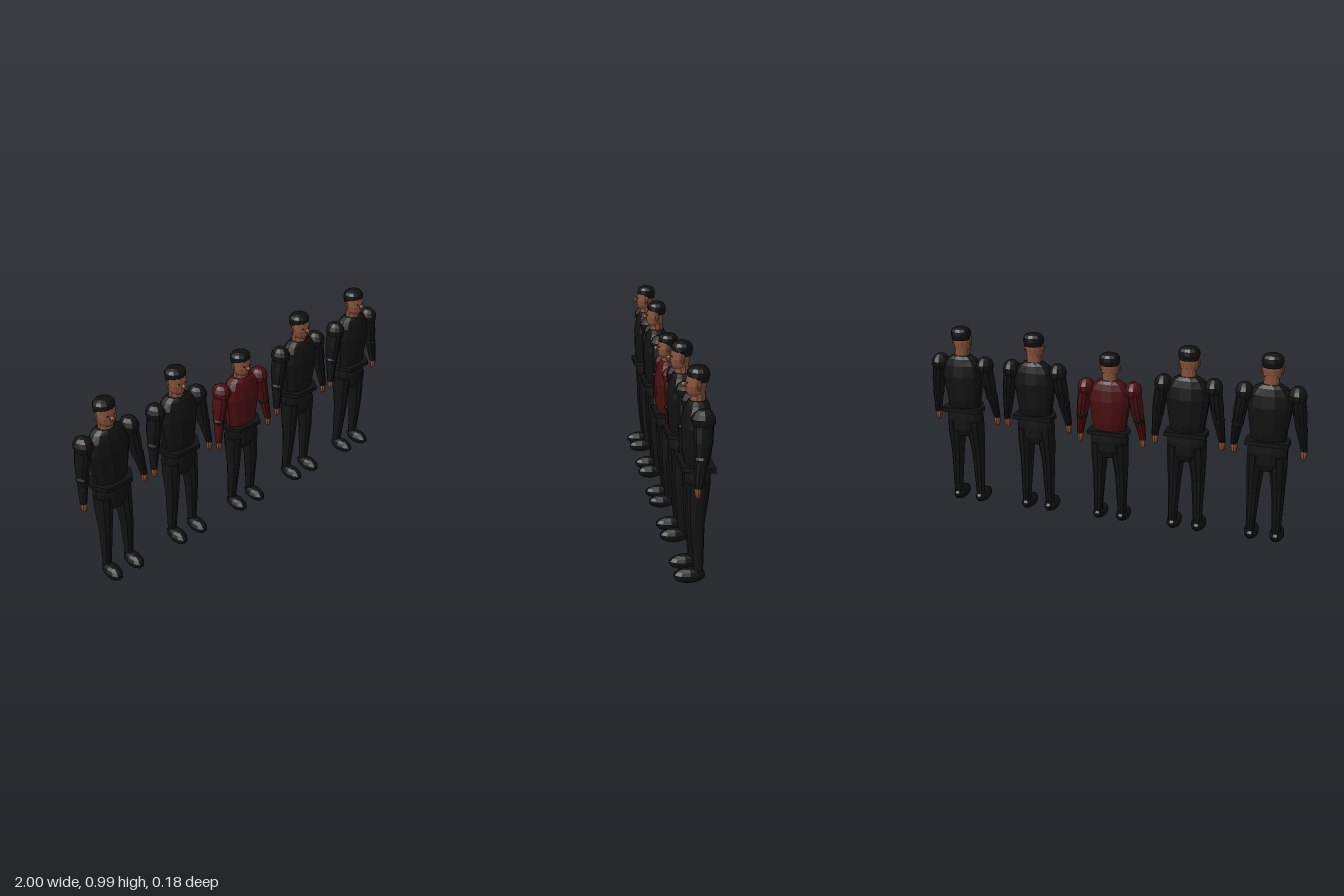
import * as THREE from 'three';

const mat = (name, color) => {
  const m = new THREE.MeshStandardMaterial({ color });
  m.name = name;
  return m;
};

// separate the faces so every facet is shaded flat
function facet(geo) {
  const g = geo.index ? geo.toNonIndexed() : geo;
  g.computeVertexNormals();
  return g;
}

// closed solid through elliptical rings [y, centreX, centreZ, radiusX, radiusZ], listed upward
function loft(rings, sides) {
  const pos = [], idx = [];
  for (const [y, cx, cz, rx, rz] of rings)
    for (let j = 0; j < sides; j++) {
      const a = ((j + 0.5) / sides) * Math.PI * 2;
      pos.push(cx + rx * Math.cos(a), y, cz + rz * Math.sin(a));
    }
  const last = rings.length - 1, base = rings.length * sides;
  for (const r of [rings[0], rings[last]]) pos.push(r[1], r[0], r[2]);
  for (let j = 0; j < sides; j++) {
    const k = (j + 1) % sides;
    for (let i = 0; i < last; i++) {
      const a = i * sides + j, b = i * sides + k;
      idx.push(a, a + sides, b, b, a + sides, b + sides);
    }
    idx.push(base, j, k, base + 1, last * sides + k, last * sides + j);
  }
  const g = new THREE.BufferGeometry();
  g.setAttribute('position', new THREE.Float32BufferAttribute(pos, 3));
  g.setIndex(idx);
  return facet(g);
}

function ellipsoid(x, y, z, rx, ry, rz, w = 10, h = 7) {
  return facet(new THREE.SphereGeometry(1, w, h).scale(rx, ry, rz).translate(x, y, z));
}

// flat-backed band, tapered toward the front
function beltGeometry() {
  const s = new THREE.Shape();
  [[-0.105, 0.09], [0.105, 0.09], [0.108, 0.01], [0.07, -0.055], [-0.07, -0.055], [-0.108, 0.01]]
    .reverse()
    .forEach(([x, y], i) => (i ? s.lineTo(x, y) : s.moveTo(x, y)));
  return new THREE.ExtrudeGeometry(s, { depth: 0.022, bevelEnabled: false })
    .rotateX(-Math.PI / 2).translate(0, 0.538, 0);
}

export function createModel() {
  const skin = mat('skin', 0x84503a);
  const black = mat('black cloth', 0x111111);
  const trousers = mat('dark trousers', 0x131314);
  const hair = mat('hair and shoes', 0x0e0f0f);
  const red = mat('dark red cloth', 0x480e0f);

  function person(top) {
    const g = new THREE.Group();
    const add = (name, geo, material) => {
      const m = new THREE.Mesh(geo, material);
      m.name = name;
      g.add(m);
    };

    // head and neck
    add('neck', loft([[0.8, 0, -0.025, 0.04, 0.036], [0.885, 0, -0.025, 0.038, 0.034]], 10), skin);
    add('head', loft([
      [0.862, 0, -0.015, 0.032, 0.034], [0.88, 0, -0.015, 0.044, 0.043],
      [0.91, 0, -0.015, 0.05, 0.046], [0.945, 0, -0.018, 0.049, 0.042],
      [0.965, 0, -0.02, 0.04, 0.034]], 12), skin);
    add('nose', ellipsoid(0, 0.91, 0.037, 0.012, 0.013, 0.014, 8, 6), skin);
    add('hair', loft([
      [0.925, 0, -0.034, 0.046, 0.037], [0.95, 0, -0.026, 0.054, 0.05],
      [0.97, 0, -0.026, 0.052, 0.048], [0.983, 0, -0.026, 0.042, 0.038],
      [0.99, 0, -0.026, 0.026, 0.022]], 12), hair);

    // body
    add('torso', loft([
      [0.53, 0, -0.022, 0.085, 0.05], [0.6, 0, -0.022, 0.093, 0.064],
      [0.73, 0, -0.022, 0.113, 0.067], [0.79, 0, -0.024, 0.105, 0.058],
      [0.825, 0, -0.026, 0.08, 0.048], [0.842, 0, -0.027, 0.05, 0.038]], 12), top);
    add('belt', beltGeometry(), black);
    add('hips', loft([
      [0.4, 0, -0.022, 0.06, 0.04], [0.44, 0, -0.023, 0.095, 0.058],
      [0.5, 0, -0.023, 0.102, 0.06], [0.545, 0, -0.023, 0.095, 0.058]], 12), trousers);

    for (const s of [-1, 1]) {
      add('eye', ellipsoid(s * 0.018, 0.922, 0.025, 0.005, 0.004, 0.004, 6, 4), hair);
      add('ear', ellipsoid(s * 0.05, 0.91, -0.022, 0.007, 0.02, 0.009, 8, 6), skin);

      // arm
      add('shoulder', ellipsoid(s * 0.127, 0.79, -0.026, 0.046, 0.05, 0.054), top);
      add('upperArm', loft([
        [0.63, s * 0.153, -0.018, 0.028, 0.032], [0.7, s * 0.144, -0.024, 0.034, 0.042],
        [0.78, s * 0.13, -0.026, 0.036, 0.044]], 10), top);
      add('elbow', ellipsoid(s * 0.155, 0.625, -0.016, 0.031, 0.028, 0.034), black);
      add('forearm', loft([
        [0.505, s * 0.173, 0.001, 0.017, 0.017],
        [0.62, s * 0.156, -0.014, 0.028, 0.03]], 10), top);
      add('hand', ellipsoid(s * 0.172, 0.488, 0.003, 0.018, 0.034, 0.015, 8, 6), skin);

      // leg
      add('leg', loft([
        [0.06, s * 0.066, -0.022, 0.022, 0.023], [0.29, s * 0.061, -0.013, 0.034, 0.037],
        [0.4, s * 0.056, -0.02, 0.044, 0.047], [0.48, s * 0.053, -0.022, 0.047, 0.054]], 10), trousers);
      add('shoe', ellipsoid(s * 0.065, 0.038, 0.017, 0.038, 0.036, 0.074), hair);
    }
    return g;
  }

  // five people in a row, the middle one shorter and in red
  const model = new THREE.Group();
  model.name = 'group of five people';
  for (let i = -2; i <= 2; i++) {
    const p = person(i === 0 ? red : black);
    p.name = i === 0 ? 'middlePerson' : 'sidePerson';
    p.position.x = i * 0.405;
    if (i === 0) p.scale.set(0.98, 0.93, 0.97);
    model.add(p);
  }
  return model;
}
